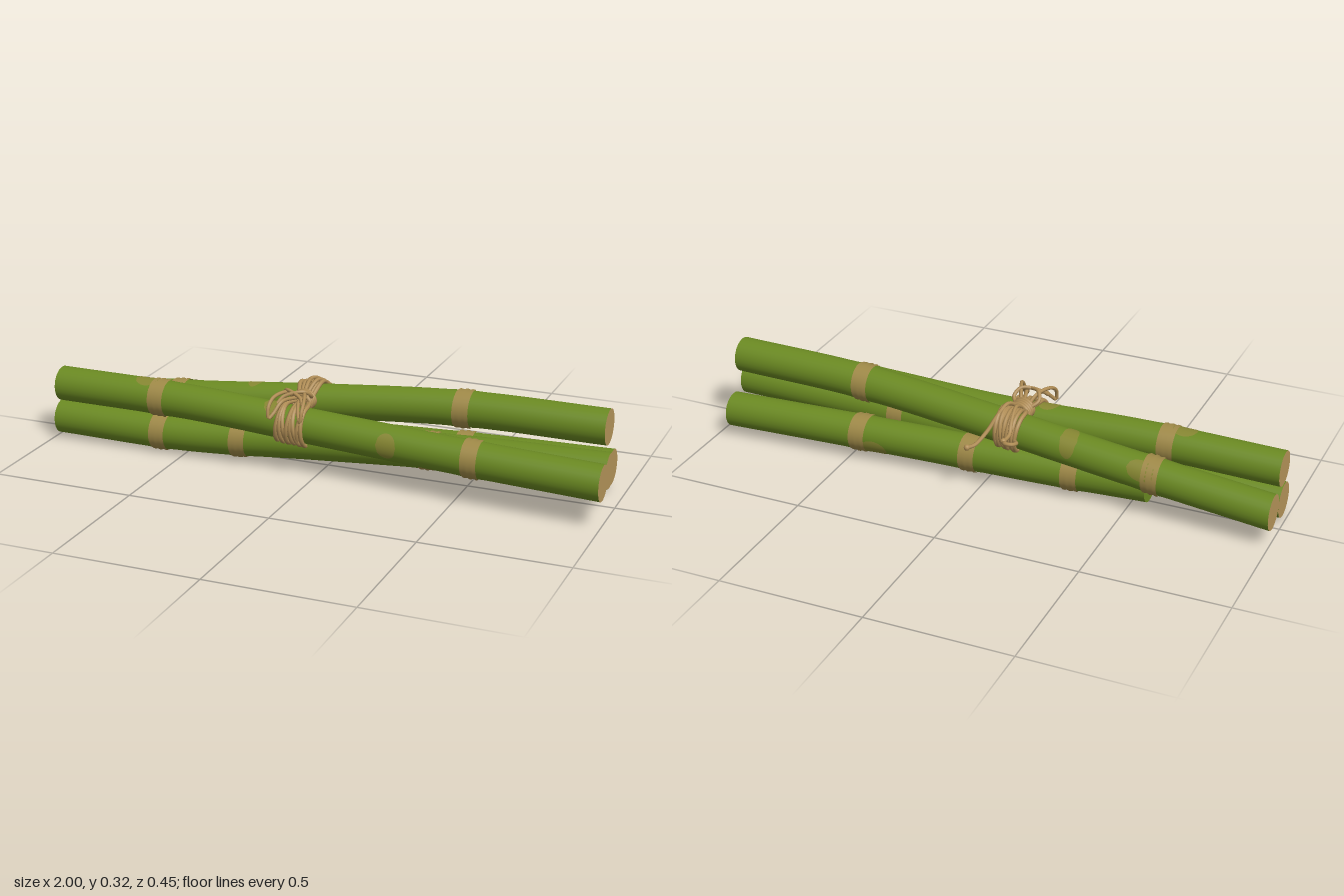
import * as THREE from 'three';

const R = 0.0605;
const mat = (name, color, side = THREE.FrontSide) => {
  const m = new THREE.MeshStandardMaterial({ color, side });
  m.name = name;
  return m;
};

// centre line of each pole: evenly spaced [y, z] points from x0 to x1
const poles = [
  { name: 'frontPole', x0: -0.985, x1: 0.997, nodes: [-0.59, 0.56],
    path: [[0.19, 0.065], [0.19, 0.076], [0.167, 0.09], [0.156, 0.13], [0.148, 0.162]],
    patches: [[0.27, 0.036, -0.1, 0.75], [-0.64, 0.045, -1.5, 0.6], [-0.15, 0.04, -1.3, 0.7]] },
  { name: 'lowerPole', x0: -0.988, x1: 0.985, nodes: [-0.59, -0.29, 0.38],
    path: [[0.071, 0.072], [0.07, 0.07], [0.10, 0.05], [0.128, 0.033], [0.14, 0.03]],
    patches: [] },
  { name: 'upperPole', x0: -0.998, x1: 0.96, nodes: [-0.59, 0.47],
    path: [[0.11, -0.085], [0.155, -0.07], [0.21, -0.06], [0.255, -0.047], [0.262, -0.038]],
    patches: [[-0.3, 0.03, -2.2, 1.1], [-0.56, 0.05, -2.6, 0.6]] },
  { name: 'backPole', x0: -0.56, x1: 0.955, nodes: [-0.3, 0.06, 0.46],
    path: [[0.077, -0.02], [0.08, -0.055], [0.086, -0.08], [0.09, -0.107], [0.09, -0.13]],
    patches: [[0.4, 0.05, 2.6, 0.6]], greenEnd: true },
];

function centreLine(p) {
  const n = p.path.length - 1;
  const curve = new THREE.CatmullRomCurve3(
    p.path.map(([y, z], i) => new THREE.Vector3(p.x0 + (p.x1 - p.x0) * i / n, y, z)), false, 'catmullrom', 0.5);
  return x => curve.getPoint(THREE.MathUtils.clamp((x - p.x0) / (p.x1 - p.x0), 0, 1));
}

// tube wall from xa to xb that follows a centre line; a half angle below PI gives an oval patch
function shell(centre, xa, xb, radius, rows, mid = 0, half = Math.PI) {
  const geo = new THREE.CylinderGeometry(1, 1, 1, 28, rows, true, -half, half * 2);
  const pos = geo.attributes.position, nor = geo.attributes.normal;
  for (let i = 0; i < pos.count; i++) {
    const v = pos.getY(i), x = xa + (xb - xa) * (v + 0.5);
    let a = Math.PI * 2 * (geo.attributes.uv.getX(i) - 0.5) * half / Math.PI;
    if (half < Math.PI) a *= Math.sqrt(Math.max(0, 1 - 4 * v * v));
    a += mid;
    const c = centre(x), r = radius(x);
    pos.setXYZ(i, x, c.y - Math.sin(a) * r, c.z + Math.cos(a) * r);
    nor.setXYZ(i, 0, -Math.sin(a), Math.cos(a));
  }
  return geo;
}

export function createModel() {
  const model = new THREE.Group();
  model.name = 'bambooBundle';
  const green = mat('bambooGreen', 0x6b8a22);
  const tan = mat('cutTan', 0xb7965a);
  const nodeTan = mat('nodeTan', 0xa08a48);
  const scar = mat('scarOlive', 0x878732, THREE.DoubleSide);
  const rope = mat('ropeTan', 0xb08d55);
  const add = (parent, geo, m, name) => {
    const mesh = new THREE.Mesh(geo, m);
    mesh.name = name;
    parent.add(mesh);
    return mesh;
  };

  const lines = {};
  for (const p of poles) {
    const g = new THREE.Group();
    g.name = p.name;
    model.add(g);
    const centre = lines[p.name] = centreLine(p);
    // stalk swells slightly toward each node
    const swell = x => R * (1 + p.nodes.reduce((s, n) => s + 0.04 * Math.exp(-(((x - n) / 0.035) ** 2)), 0));
    add(g, shell(centre, p.x0, p.x1, swell, 90), green, 'stalk');

    // cut ends
    [[p.x0, -1], [p.x1, 1]].forEach(([x, s]) => {
      const cap = add(g, new THREE.CircleGeometry(R, 28), p.greenEnd && s < 0 ? green : tan, 'cutEnd');
      cap.rotation.y = s * Math.PI / 2;
      cap.position.copy(centre(x));
    });

    // node bands with a raised ridge and two lips
    for (const n of p.nodes) {
      const band = x => {
        const d = x - n;
        return swell(x) + 0.001 + 0.003 * Math.exp(-((d / 0.006) ** 2))
          + 0.003 * Math.exp(-(((Math.abs(d) - 0.021) / 0.005) ** 2));
      };
      add(g, shell(centre, n - 0.028, n + 0.028, band, 20), nodeTan, 'nodeBand');
    }
    // bare patches of bark
    for (const [x, w, mid, half] of p.patches)
      add(g, shell(centre, x - w, x + w, t => swell(t) + 0.001, 12, mid, half), scar, 'barkPatch');
  }

  // rope binding
  const binding = new THREE.Group();
  binding.name = 'ropeBinding';
  model.add(binding);
  const cord = (pts, name, r = 0.0065, closed = false) => add(binding, new THREE.TubeGeometry(
    new THREE.CatmullRomCurve3(pts.map(q => new THREE.Vector3(...q)), closed), pts.length * 8, r, 7, closed), rope, name);

  // turns around the front and upper poles
  for (let k = 0; k < 8; k++) {
    const pts = [], s = k - 3.5, rr = R + 0.006 + 0.0015 * (k % 2);
    const arc = (line, from, to, pitch, slant) => {
      for (let i = 0; i <= 6; i++) {
        const a = from + (to - from) * i / 6;
        const x = -0.083 + s * pitch + slant * Math.sin(a);
        const c = line(x);
        pts.push([x, c.y + Math.sin(a) * rr, c.z + Math.cos(a) * rr]);
      }
    };
    arc(lines.frontPole, -1.6, 1.6, 0.013, -0.01 * (k % 3 - 1));
    pts.push([-0.08 + s * 0.007, 0.237, 0.018]);
    arc(lines.upperPole, 1.5, 4.7, 0.010, 0.008 * (k % 3 - 1));
    pts.push([-0.08 + s * 0.007, 0.135, 0.015]);
    cord(pts, 'ropeTurn', 0.0078, true);
  }

  // cinch coils pulling the turns together
  for (let k = 0; k < 4; k++) {
    const pts = [], z = 0.005 + k * 0.013;
    for (let i = 0; i < 10; i++) {
      const a = i / 10 * Math.PI * 2;
      pts.push([-0.08 + Math.cos(a) * 0.036, 0.232 + Math.sin(a) * 0.028, z + 0.008 * Math.cos(a)]);
    }
    cord(pts, 'cinchCoil', 0.0075, true);
  }

  // bow loops over the front pole
  for (const s of [-1, 1]) {
    const x = d => -0.085 + s * d;
    cord([[x(0.01), 0.24, 0.03], [x(0.03), 0.275, 0.075], [x(0.055), 0.272, 0.14], [x(0.06), 0.245, 0.172],
      [x(0.056), 0.212, 0.178], [x(0.045), 0.225, 0.165], [x(0.03), 0.257, 0.13], [x(0.008), 0.25, 0.05]],
    'bowLoop');
    cord([[x(0.015), 0.24, 0.02], [x(0.045), 0.262, 0.05], [x(0.03), 0.284, 0.08],
      [x(-0.03), 0.27, 0.11], [x(-0.045), 0.25, 0.13]], 'crossStrand');
  }

  // loose ends trailing behind
  cord([[-0.085, 0.25, 0.01], [-0.09, 0.278, -0.05], [-0.1, 0.255, -0.11], [-0.11, 0.228, -0.15], [-0.108, 0.222, -0.185],
    [-0.122, 0.23, -0.215], [-0.145, 0.23, -0.213], [-0.152, 0.225, -0.19], [-0.138, 0.22, -0.172]],
  'curledEnd', 0.007);
  cord([[-0.075, 0.25, 0.01], [-0.06, 0.285, -0.05], [-0.045, 0.26, -0.105], [-0.03, 0.225, -0.14], [-0.015, 0.2, -0.175],
    [-0.005, 0.19, -0.198], [0.015, 0.184, -0.215]], 'straightEnd', 0.007);
  for (const [x, y, z] of [[-0.108, 0.226, -0.195], [0.015, 0.184, -0.213]]) {
    add(binding, new THREE.SphereGeometry(0.0105, 12, 8), rope, 'endKnot').position.set(x, y, z);
  }
  return model;
}
